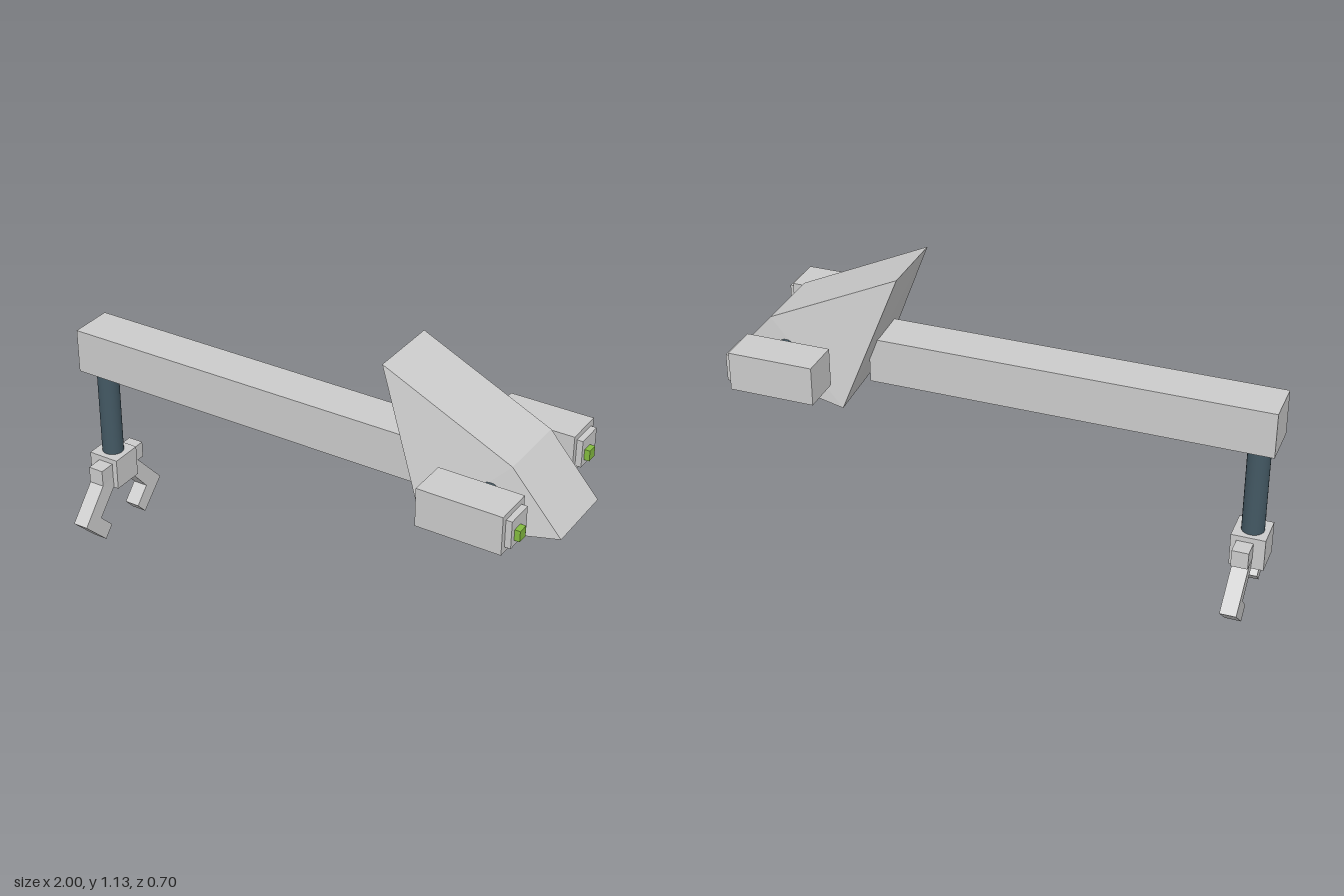
import * as THREE from 'three';
import { ConvexGeometry } from 'three/addons/geometries/ConvexGeometry.js';

const material = (color) => new THREE.MeshStandardMaterial({ color, flatShading: true });

export function createModel() {
  const model = new THREE.Group();
  const grey = material(0xcccccc);
  const dark = new THREE.MeshStandardMaterial({ color: 0x435863 });
  const green = material(0x84bb40);

  const add = (name, geometry, mat, parent = model) => {
    const mesh = new THREE.Mesh(geometry, mat);
    mesh.name = name;
    parent.add(mesh);
    return mesh;
  };
  // Box given by its lower and upper limits on each axis
  const box = (name, [x0, x1], [y0, y1], [z0, z1], mat = grey, parent = model) => {
    const mesh = add(name, new THREE.BoxGeometry(x1 - x0, y1 - y0, z1 - z0), mat, parent);
    mesh.position.set((x0 + x1) / 2, (y0 + y1) / 2, (z0 + z1) / 2);
    return mesh;
  };

  // Long boom
  box('boom', [-1, 0.46], [0.685, 0.855], [-0.08, 0.087]);

  // Wedge-shaped cabin: constant-width ridge and nose, flared lower rear corners
  const cabin = [];
  for (const s of [1, -1]) {
    for (const [x, y] of [[0.322, 1.135], [0.81, 0.905], [0.997, 0.692]]) {
      cabin.push(new THREE.Vector3(x, y, s * 0.138));
    }
  }
  cabin.push(new THREE.Vector3(0.532, 0.63, 0.221), new THREE.Vector3(0.513, 0.63, -0.202));
  add('cabin', new ConvexGeometry(cabin), grey);

  // Axle joining the two side pods through the cabin
  const axle = add('axle', new THREE.CylinderGeometry(0.04, 0.04, 0.42, 24), dark);
  axle.rotation.x = Math.PI / 2;
  axle.position.set(0.743, 0.795, 0);

  // Side pods with stepped front plate and lamp
  for (const [name, x, z] of [['rightPod', 0.575, 0.274], ['leftPod', 0.556, -0.276]]) {
    const pod = new THREE.Group();
    pod.name = name;
    pod.position.set(x, 0.787, z);
    box('podBody', [0, 0.313], [-0.072, 0.072], [-0.074, 0.074], grey, pod);
    box('podPlate', [0.3, 0.335], [-0.051, 0.051], [-0.053, 0.053], grey, pod);
    const lampZ = z > 0 ? 0.012 : 0.014;
    box('podLamp', [0.32, 0.355], [-0.03, 0.01], [lampZ - 0.02, lampZ + 0.02], green, pod);
    model.add(pod);
  }

  // Hanging post
  const post = add('post', new THREE.CylinderGeometry(0.041, 0.041, 0.48, 24), dark);
  post.position.set(-0.93, 0.5, 0.011);

  // Gripper hub and shoulder block
  box('gripperHub', [-0.99, -0.866], [0.203, 0.327], [-0.049, 0.075]);
  box('gripperShoulders', [-0.948, -0.887], [0.242, 0.307], [-0.114, 0.138]);

  // Hooked claws as (z, y) outlines, extruded across x and leaning slightly
  const claw = (name, outline) => {
    const shape = new THREE.Shape(outline.map(([z, y]) => new THREE.Vector2(z, y)));
    const geometry = new THREE.ExtrudeGeometry(shape, { depth: 0.06, bevelEnabled: false });
    geometry.rotateY(-Math.PI / 2).translate(-0.887, 0, 0);
    const p = geometry.attributes.position;
    for (let i = 0; i < p.count; i++) {
      p.setX(i, p.getX(i) + Math.max(0, 0.24 - p.getY(i)) * 0.045);
    }
    geometry.computeVertexNormals();
    add(name, geometry, grey);
  };
  claw('frontClaw', [[0.06, 0.255], [0.138, 0.242], [0.258, 0.12], [0.154, 0.013],
    [0.111, 0.056], [0.168, 0.116], [0.075, 0.207]]);
  claw('backClaw', [[-0.035, 0.255], [-0.035, 0.207], [-0.117, 0.107], [-0.054, 0.047],
    [-0.094, 0.002], [-0.207, 0.102], [-0.083, 0.242]]);

  return model;
}
